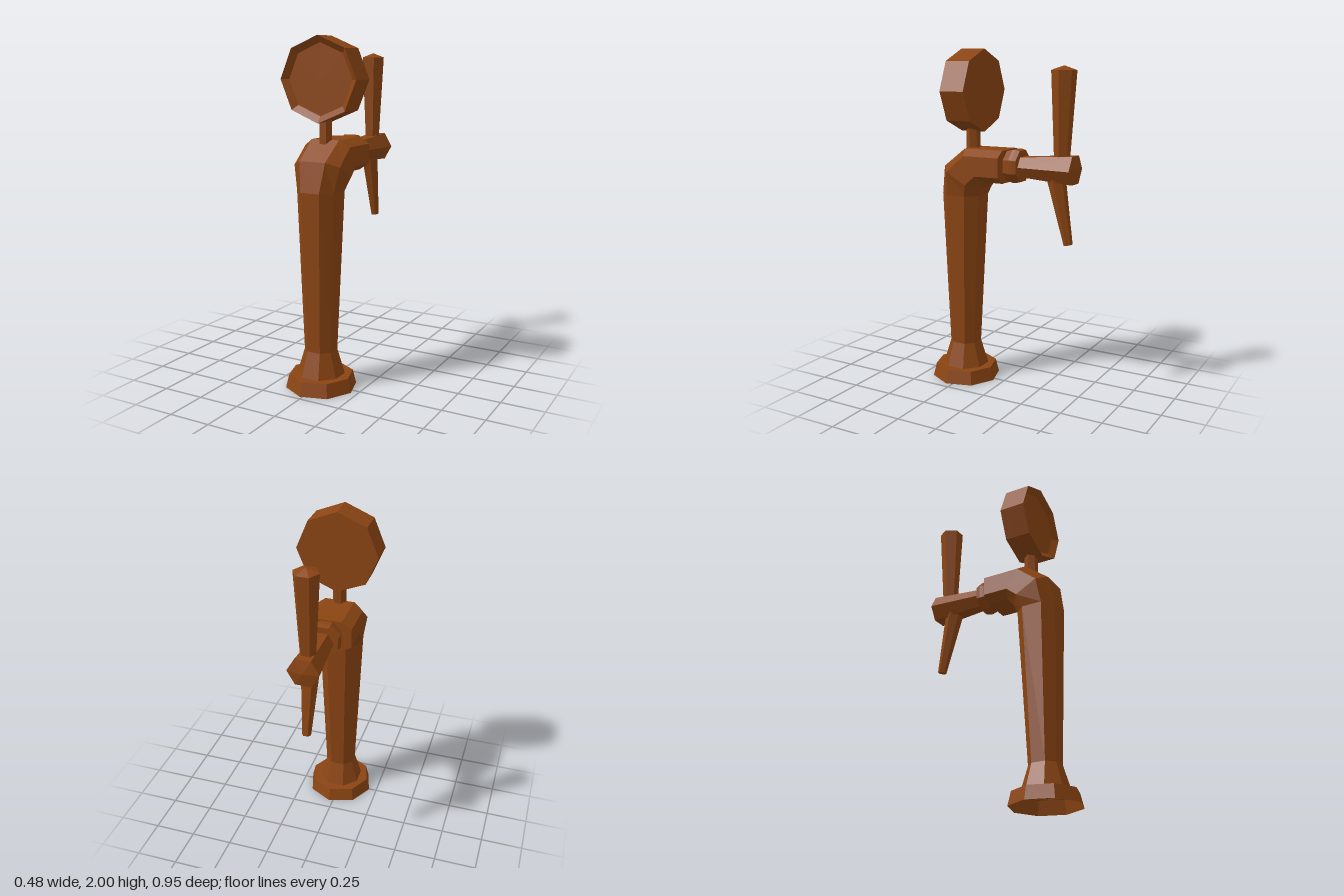
import * as THREE from 'three';

const material = new THREE.MeshStandardMaterial({ color: 0x8b4513, flatShading: true, side: THREE.DoubleSide });

export function createModel() {
  const group = new THREE.Group();

  const add = (name, geometry, position = [0, 0, 0], tilt = 0) => {
    const mesh = new THREE.Mesh(geometry, material);
    mesh.name = name;
    mesh.position.set(...position);
    mesh.rotation.x = tilt;
    group.add(mesh);
  };
  // Faceted turned part from [radius, height] pairs
  const turned = (sides, start, profile) =>
    new THREE.LatheGeometry(profile.map(([r, y]) => new THREE.Vector2(r, y)), sides, start);

  // Curved post swept through bevelled eight-sided sections
  add('post', sweptPost());

  // Foot flange, hollow underneath
  add('footFlange', turned(8, -0.1, [[0.207, 0], [0.187, 0.08], [0.11, 0.08]]), [0.005, 0, 0.268]);

  // Round badge with a dished front, on a short stem
  add('badge', turned(8, 0, [[0, 0], [0.238, 0], [0.238, 0.155], [0.2, 0.125], [0, 0.125]]), [0, 1.762, 0.13], Math.PI / 2);
  add('badgeStem', turned(6, Math.PI / 2, [[0.041, 0], [0.041, 0.15]]), [0.005, 1.4, 0.205]);

  // Collar and tap body pointing to the back
  add('collar', turned(8, Math.PI / 8, [[0, 0], [0.092, 0], [0.103, 0.04], [0.103, 0.06], [0.097, 0.085], [0, 0.085]]),
    [0.004, 1.338, -0.04], -Math.PI / 2);
  add('tapBody', turned(6, Math.PI / 2, [[0.065, 0], [0.092, 0.335], [0, 0.352]]), [0.004, 1.335, -0.12], -Math.PI / 2);

  // Pull handle above and spout below
  add('handle', turned(6, Math.PI / 2, [[0, 0], [0.044, 0], [0.072, 0.51], [0, 0.535]]), [0.003, 1.372, -0.372], -0.012);
  add('spout', turned(6, Math.PI / 2, [[0, 0], [0.026, 0], [0.055, 0.4], [0, 0.4]]), [0.003, 0.905, -0.418], 0.207);

  return group;
}

function sweptPost() {
  // half width, outer [z, y], inner [z, y], share of each side left flat
  const sections = [
    [0.13, [0.398, 0.07], [0.138, 0.07], 0.42],
    [0.085, [0.353, 0.225], [0.185, 0.225], 0.48],
    [0.118, [0.385, 1.15], [0.14, 1.15], 0.5],
    [0.145, [0.355, 1.32], [0.128, 1.195], 0.56],
    [0.145, [0.21, 1.43], [0.09, 1.24], 0.6],
    [0.145, [-0.04, 1.43], [-0.04, 1.24], 0.6],
  ];
  const positions = [], indices = [], n = 8;
  for (const [a, outer, inner, f] of sections) {
    const corners = [[1, -f], [1, f], [f, 1], [-f, 1], [-1, f], [-1, -f], [-f, -1], [f, -1]];
    for (const [u, v] of corners) {
      const t = (1 + v) / 2;
      positions.push(0.005 + a * u,
        THREE.MathUtils.lerp(inner[1], outer[1], t),
        THREE.MathUtils.lerp(inner[0], outer[0], t));
    }
  }
  for (let s = 0; s < sections.length - 1; s++) {
    for (let k = 0; k < n; k++) {
      const a = s * n + k, b = s * n + (k + 1) % n;
      indices.push(a, a + n, b + n, a, b + n, b);
    }
  }
  // Cap at the tap end
  const last = (sections.length - 1) * n;
  for (let k = 1; k < n - 1; k++) indices.push(last, last + k + 1, last + k);

  const geometry = new THREE.BufferGeometry();
  geometry.setAttribute('position', new THREE.Float32BufferAttribute(positions, 3));
  geometry.setIndex(indices);
  const flat = geometry.toNonIndexed();
  flat.computeVertexNormals();
  return flat;
}
